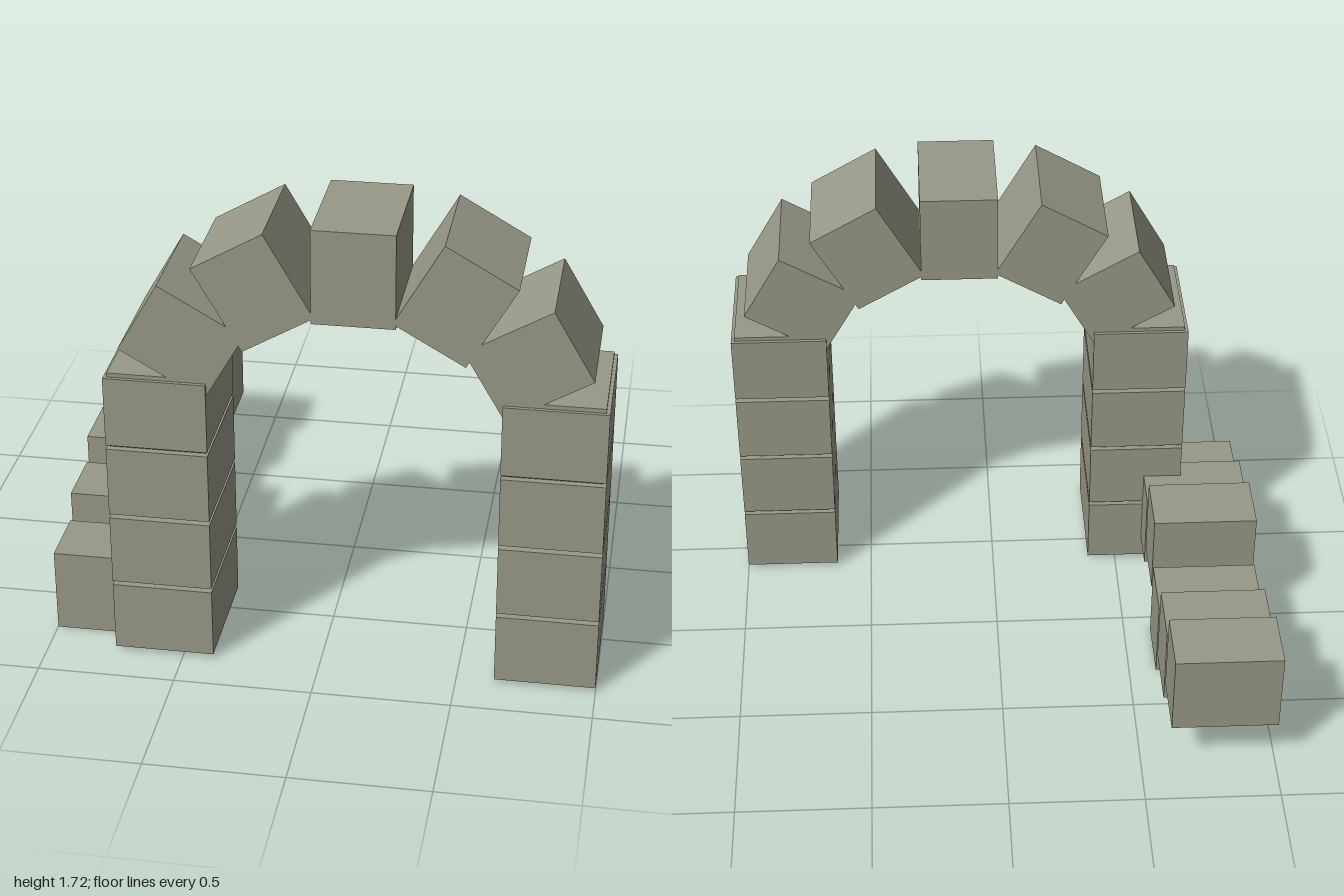
import * as THREE from 'three';

const stone = new THREE.MeshStandardMaterial({ color: 0x999988 });
stone.name = 'stone';

function block(name, size, position, tilt = 0) {
  const mesh = new THREE.Mesh(new THREE.BoxGeometry(...size), stone);
  mesh.name = name;
  mesh.position.set(...position);
  mesh.rotation.z = tilt;
  return mesh;
}

export function createModel() {
  const model = new THREE.Group();
  model.name = 'stoneArchway';
  const archX = 0.124, archZ = 0.606;

  // Two pillars of four stacked blocks
  for (const side of [-1, 1]) {
    const pillar = new THREE.Group();
    pillar.name = side < 0 ? 'rightPillar' : 'leftPillar';
    for (let i = 0; i < 4; i++) {
      pillar.add(block('pillarBlock', [0.363, 0.264, 0.461],
        [archX + side * 0.694, 0.147 + i * 0.28, archZ]));
    }
    model.add(pillar);
  }

  // Seven arch stones on a half ellipse; the end ones sit inside the pillar tops
  const arch = new THREE.Group();
  arch.name = 'arch';
  for (let i = 0; i < 7; i++) {
    const a = (i * Math.PI) / 6;
    arch.add(block('archStone', [0.345, 0.289, 0.434],
      [archX + 0.69 * Math.cos(a), 0.99 + 0.56 * Math.sin(a), archZ], a));
  }
  model.add(arch);

  // Row of side blocks running back, stepping through three heights
  const row = new THREE.Group();
  row.name = 'sideWall';
  const bottoms = [0.2, 0.103, 0.001];
  for (let i = 0; i < 6; i++) {
    row.add(block('wallBlock', [0.395, 0.318, 0.238],
      [-0.802, bottoms[i % 3] + 0.159, -0.718 + i * 0.2648]));
  }
  model.add(row);

  return model;
}
